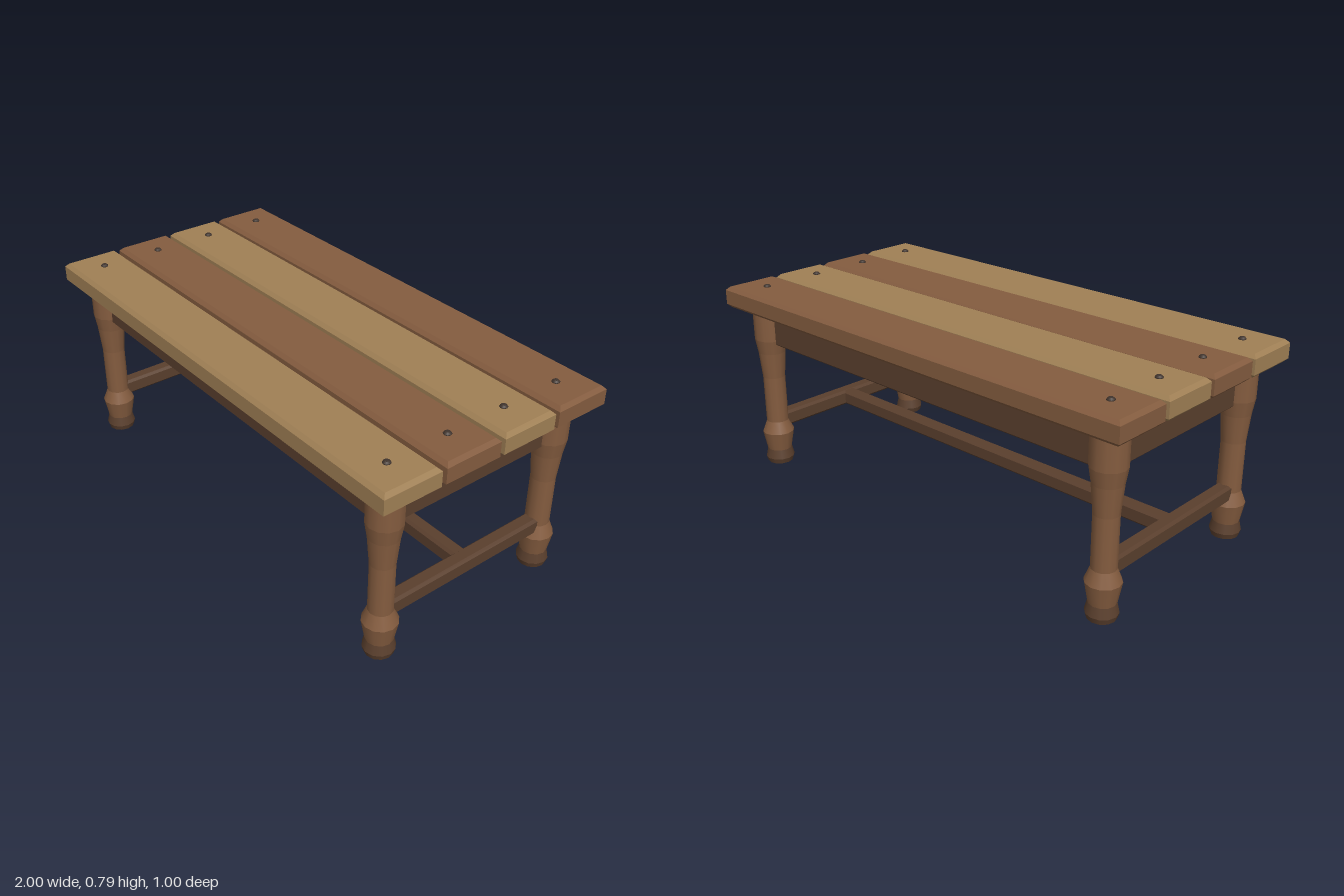
import * as THREE from 'three';

const paint = (name, color) => {
  const m = new THREE.MeshStandardMaterial({ color });
  m.name = name;
  return m;
};

// Box with chamfered top and bottom rims, centred on the origin
function chamferBox(w, h, d, c) {
  const x = w / 2, z = d / 2;
  const shape = new THREE.Shape([
    new THREE.Vector2(-x, -z), new THREE.Vector2(x, -z),
    new THREE.Vector2(x, z), new THREE.Vector2(-x, z),
  ]);
  const geo = new THREE.ExtrudeGeometry(shape, {
    depth: h - 2 * c, bevelEnabled: true, bevelSegments: 1,
    bevelSize: c, bevelThickness: c, bevelOffset: -c,
  });
  geo.translate(0, 0, -(h - 2 * c) / 2);
  geo.rotateX(-Math.PI / 2);
  return geo;
}

// Turned part from [radius, height] pairs, with a crisp edge at each ring
function turned(profile, sides) {
  const pts = [];
  profile.forEach(([r, y], i) => {
    pts.push(new THREE.Vector2(r, y));
    if (i > 0 && i < profile.length - 1) pts.push(new THREE.Vector2(r, y));
  });
  return new THREE.LatheGeometry(pts, sides);
}

export function createModel() {
  const model = new THREE.Group();
  model.name = 'plankTable';
  const lightWood = paint('lightWood', 0xa08055);
  const brownWood = paint('brownWood', 0x845c3f);
  const darkWood = paint('darkWood', 0x5a3f2d);
  const metal = paint('darkMetal', 0x40342d);

  const add = (name, geo, mat, x, y, z) => {
    const mesh = new THREE.Mesh(geo, mat);
    mesh.name = name;
    mesh.position.set(x, y, z);
    model.add(mesh);
  };

  // Table top: four planks of alternating wood, each with two bolts
  const plank = chamferBox(2, 0.087, 0.236, 0.014);
  const bolt = turned([[0.015, 0], [0.015, 0.004], [0.009, 0.01], [0, 0.011]], 8);
  for (let i = 0; i < 4; i++) {
    const z = 0.382 - i * 0.2547;
    add('plank', plank, i % 2 ? brownWood : lightWood, 0, 0.7365, z);
    for (const x of [-0.876, 0.876]) add('bolt', bolt, metal, x, 0.779, z);
  }

  // Turned legs with dark feet
  const leg = turned([
    [0.051, 0.06], [0.066, 0.14], [0.046, 0.19], [0.046, 0.39],
    [0.056, 0.5], [0.066, 0.56], [0.066, 0.695], [0, 0.695],
  ], 12);
  const foot = turned([[0, 0], [0.053, 0], [0.06, 0.022], [0.051, 0.061], [0, 0.061]], 12);
  for (const x of [-0.88, 0.88]) {
    for (const z of [-0.382, 0.382]) {
      add('leg', leg, brownWood, x, 0, z);
      add('foot', foot, darkWood, x, 0, z);
    }
  }

  // Aprons under the top and side stretchers
  const longApron = chamferBox(1.74, 0.155, 0.04, 0.007);
  const endApron = chamferBox(0.04, 0.155, 0.74, 0.007);
  const sideStretcher = chamferBox(0.06, 0.066, 0.74, 0.01);
  for (const s of [-1, 1]) {
    add('longApron', longApron, darkWood, 0, 0.6195, s * 0.382);
    add('endApron', endApron, darkWood, s * 0.88, 0.6195, 0);
    add('sideStretcher', sideStretcher, darkWood, s * 0.88, 0.188, 0);
  }

  // Centre stretcher joining the two side stretchers
  add('centreStretcher', chamferBox(1.76, 0.064, 0.06, 0.01), darkWood, 0, 0.188, 0);

  return model;
}
